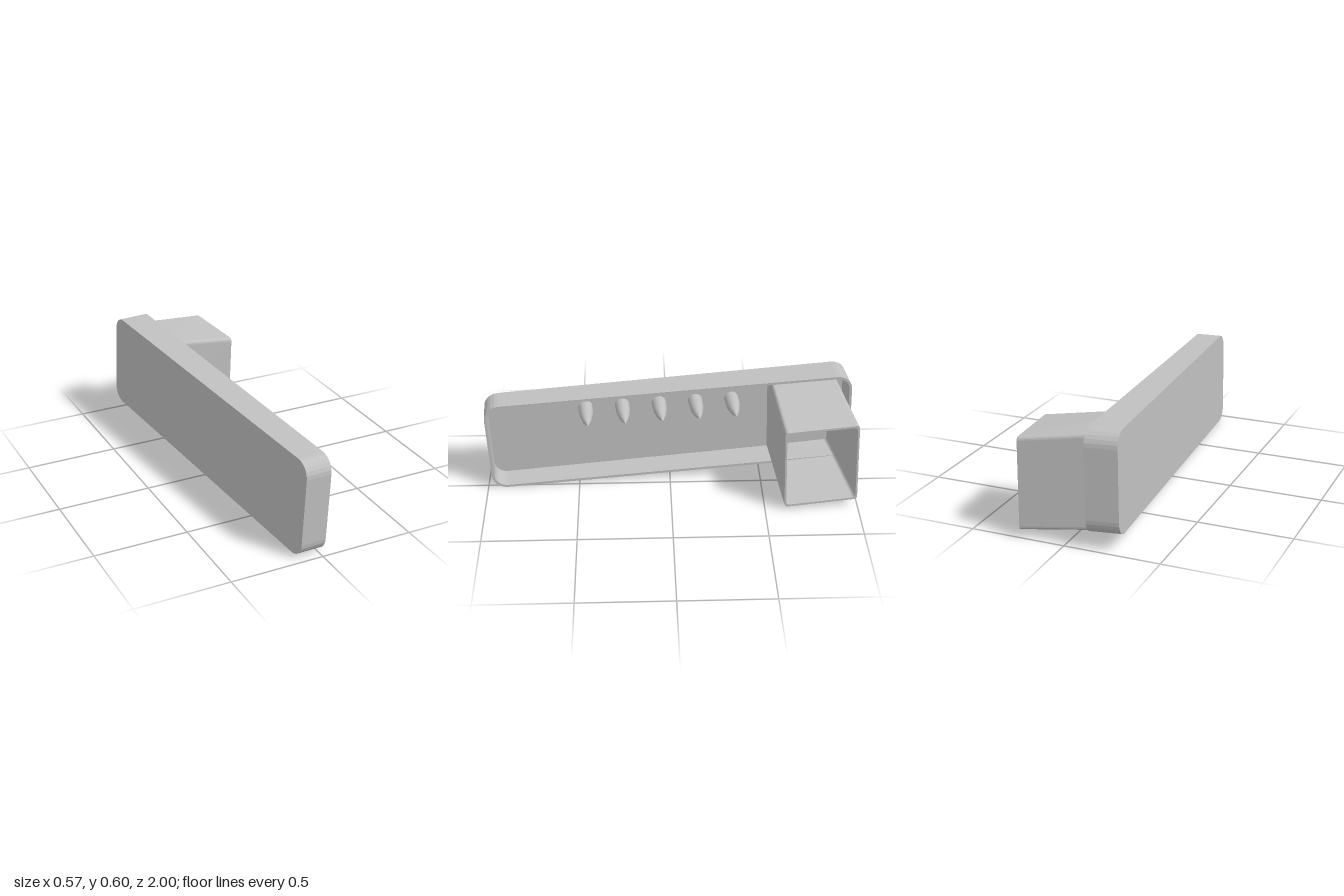
import * as THREE from 'three';

const V = (x, y, z) => new THREE.Vector3(x, y, z);

// Rounded rectangle as [h, l] pairs, running from +h towards +l
function roundedLoop(hh, hl, rh, rl, steps) {
  const pts = [];
  for (let k = 0; k < 4; k++) {
    const sh = k === 0 || k === 3 ? 1 : -1;
    const sl = k < 2 ? 1 : -1;
    for (let i = 0; i <= steps; i++) {
      const a = (k + i / steps) * Math.PI / 2;
      pts.push([sh * (hh - rh) + rh * Math.cos(a), sl * (hl - rl) + rl * Math.sin(a)]);
    }
  }
  return pts;
}

// Faceted skin through rings of points, optionally closed at both ends
function loft(rings, caps) {
  const n = rings[0].length, pos = [];
  const tri = (...p) => p.forEach((v) => pos.push(v.x, v.y, v.z));
  for (let r = 0; r < rings.length - 1; r++) {
    const a = rings[r], b = rings[r + 1];
    for (let i = 0; i < n; i++) {
      const j = (i + 1) % n;
      tri(a[i], a[j], b[i]);
      tri(a[j], b[j], b[i]);
    }
  }
  if (caps) {
    const first = rings[0], last = rings[rings.length - 1];
    for (let i = 1; i < n - 1; i++) {
      tri(first[0], first[i + 1], first[i]);
      tri(last[0], last[i], last[i + 1]);
    }
  }
  const g = new THREE.BufferGeometry();
  g.setAttribute('position', new THREE.Float32BufferAttribute(pos, 3));
  g.computeVertexNormals();
  return g;
}

export function createModel() {
  const grey = new THREE.MeshStandardMaterial({ color: 0xc0c0c0 });
  grey.name = 'light grey';
  const model = new THREE.Group();
  model.name = 'trayWithSpout';
  const add = (parent, geometry, name) => {
    const m = new THREE.Mesh(geometry, grey);
    m.name = name;
    parent.add(m);
    return m;
  };

  // Tilted frame: x = opening direction, y = height, z = length
  const L = V(0.086, -0.039, 0.9955).normalize();
  const H = V(0.028, 0.9988, 0.0367);
  H.addScaledVector(L, -H.dot(L)).normalize();
  const D = V(0, 0, 0).crossVectors(H, L);
  const tilted = new THREE.Group();
  tilted.name = 'tray';
  tilted.quaternion.setFromRotationMatrix(new THREE.Matrix4().makeBasis(D, H, L));
  tilted.position.set(-0.193, 0.308, 0.0085);
  model.add(tilted);

  // Tray shell: thin walls, slightly deeper at the spout end
  const halfH = 0.262, halfL = 0.988, wall = 0.014;
  const ring = (grow, r, depth) =>
    roundedLoop(halfH + grow, halfL + grow, r, r, 6).map(([h, l]) => V(depth(l), h, l));
  const rim = (l) => 0.1535 - 0.0135 * l / halfL;
  add(tilted, loft([
    ring(0, 0.08, () => 0),
    ring(0.003, 0.083, rim),
    ring(0.003 - wall, 0.069, rim),
    ring(-wall, 0.066, () => 0.015),
  ], true), 'trayShell');

  // Row of five bullet-shaped pegs
  const bodyProfile = [[0.04, 0], [0.037, 0.09], [0.024, 0.152]].map((p) => new THREE.Vector2(...p));
  const body = new THREE.LatheGeometry(bodyProfile, 14).rotateZ(-Math.PI / 2);
  const tip = new THREE.ConeGeometry(0.024, 0.054, 14, 1, true)
    .translate(0, 0.179, 0).rotateZ(-Math.PI / 2);
  for (let i = 0; i < 5; i++) {
    const l = 0.447 - 0.2 * i;
    const peg = new THREE.Group();
    peg.name = 'peg' + (i + 1);
    peg.position.set(0, 0.112 + 0.04 * l, l);
    add(peg, body, 'pegBody');
    add(peg, tip, 'pegTip');
    tilted.add(peg);
  }

  // Square spout: skewed tube from the tray floor to an open mouth
  // Corners: front top, front bottom, rear top, rear bottom
  const base = [V(-0.227, 0.583, -0.535), V(-0.243, 0.07, -0.552),
    V(-0.257, 0.585, -0.885), V(-0.272, 0.088, -0.902)];
  const mouth = [V(0.288, 0.502, -0.585), V(0.277, 0.025, -0.603),
    V(0.25, 0.518, -0.975), V(0.24, 0.043, -0.998)];
  const spoutRing = (c, inset) =>
    roundedLoop(1 - inset, 1 - inset, 0.08, 0.09, 4).map(([h, l]) => {
      const front = c[1].clone().lerp(c[0], (h + 1) / 2);
      const rear = c[3].clone().lerp(c[2], (h + 1) / 2);
      return rear.lerp(front, (l + 1) / 2);
    });
  add(model, loft([
    spoutRing(base, 0), spoutRing(mouth, 0), spoutRing(mouth, 0.05), spoutRing(base, 0.05),
  ], false), 'spout');

  return model;
}
